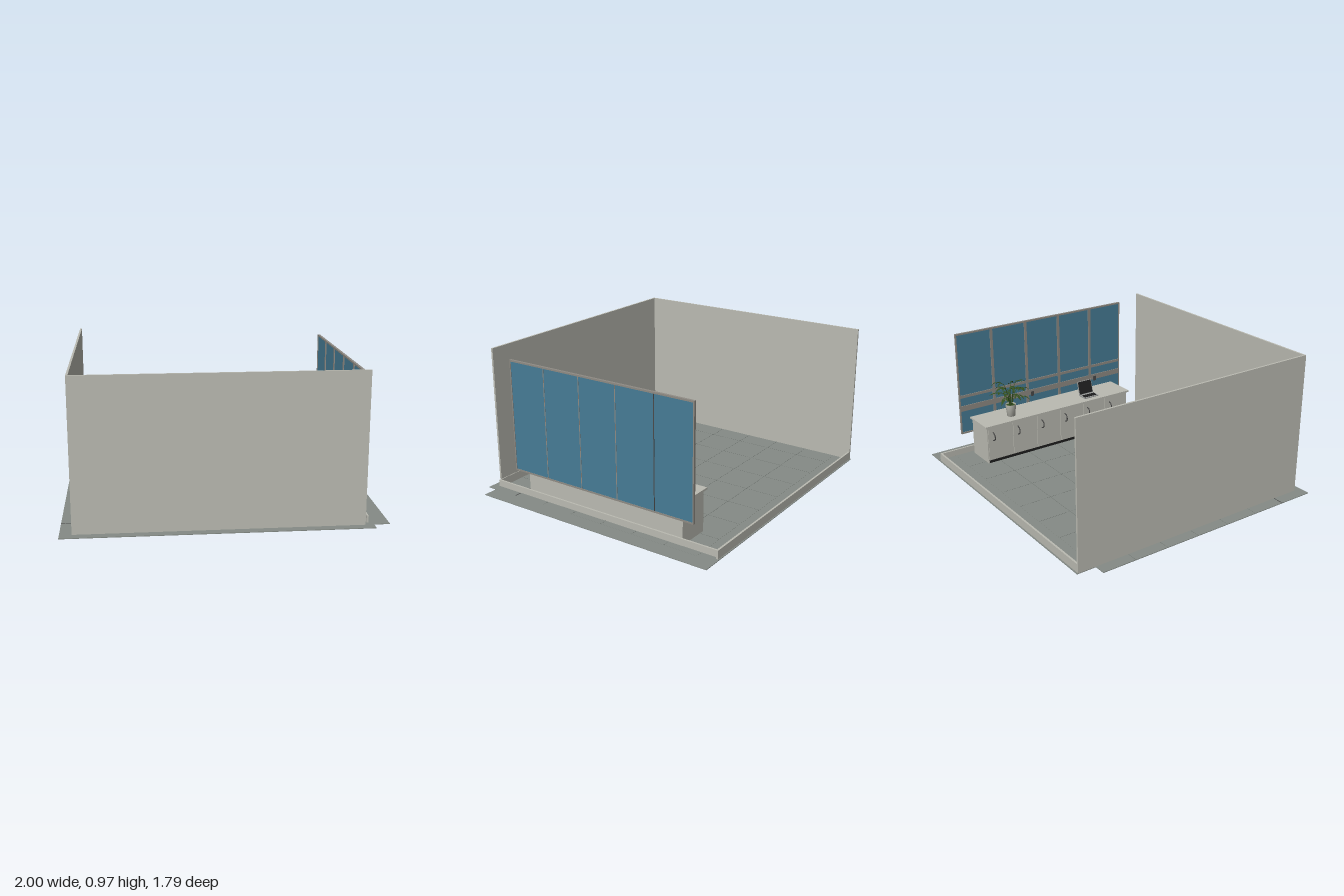
import * as THREE from 'three';

const mat = (name, color, side = THREE.FrontSide) => {
  const m = new THREE.MeshStandardMaterial({ color, side });
  m.name = name;
  return m;
};

export function createModel() {
  const model = new THREE.Group();
  model.name = 'room';
  const wall = mat('pale stone', 0xbbbbb2);
  const floorMat = mat('floor grey', 0x858b86);
  const grout = mat('grout grey', 0x6f7571);
  const glass = mat('blue glass', 0x467c96);
  const frame = mat('frame grey', 0x8f8b84);
  const black = mat('black', 0x1e1e1e);
  const metal = mat('dark metal', 0x4a4a4a);
  const leafMat = mat('leaf green', 0x34501f, THREE.DoubleSide);
  const laptopMat = mat('laptop grey', 0x9a9c9a);

  const group = (name) => {
    const g = new THREE.Group();
    g.name = name;
    model.add(g);
    return g;
  };
  const add = (parent, name, geometry, material) => {
    const m = new THREE.Mesh(geometry, material);
    m.name = name;
    parent.add(m);
    return m;
  };
  // Box given by its lowest and highest corners
  const box = (parent, name, material, [x0, x1], [y0, y1], [z0, z1]) => {
    const m = add(parent, name, new THREE.BoxGeometry(x1 - x0, y1 - y0, z1 - z0), material);
    m.position.set((x0 + x1) / 2, (y0 + y1) / 2, (z0 + z1) / 2);
    return m;
  };

  // Floor: two offset slabs leave notched corners
  const floor = group('floor');
  box(floor, 'floorSlab', floorMat, [-0.925, 1], [0, 0.004], [-0.9, 0.83]);
  box(floor, 'tileSlab', floorMat, [-1, 0.9], [0.0005, 0.005], [-0.77, 0.893]);
  for (let i = 0; i < 6; i++) {
    const z = -0.54 + i * 0.238;
    box(floor, 'tileJoint', i === 5 ? metal : grout, [-1, 0.9], [0.0045, 0.0058],
      i === 5 ? [z - 0.003, z + 0.003] : [z - 0.001, z + 0.001]);
  }
  for (let i = 0; i < 7; i++) {
    const x = -0.77 + i * 0.238;
    box(floor, 'tileJoint', grout, [x - 0.001, x + 0.001], [0.0045, 0.0057], [-0.77, 0.82]);
  }

  // Two tall walls and the low kerbs on the open sides
  const walls = group('walls');
  box(walls, 'frontWall', wall, [-0.925, 0.846], [0.004, 0.965], [0.827, 0.84]);
  box(walls, 'rightWall', wall, [-0.925, -0.912], [0.004, 0.965], [-0.892, 0.827]);
  box(walls, 'backKerb', wall, [-0.912, 0.866], [0.004, 0.06], [-0.892, -0.879]);
  box(walls, 'leftKerb', wall, [0.854, 0.866], [0.016, 0.06], [-0.879, 0.83]);
  box(walls, 'frontSkirting', wall, [-0.912, 0.846], [0.005, 0.06], [0.822, 0.827]);

  // Glazed screen with five panes
  const win = group('window');
  const [zA, zB, yA, yB] = [-0.722, 0.667, 0.172, 0.922];
  box(win, 'glass', glass, [0.853, 0.86], [yA + 0.006, yB - 0.006], [zA + 0.006, zB - 0.006]);
  box(win, 'bottomFrame', frame, [0.847, 0.863], [yA, yA + 0.011], [zA, zB]);
  box(win, 'topFrame', frame, [0.847, 0.863], [yB - 0.011, yB], [zA, zB]);
  for (const z of [zA, zB - 0.008])
    box(win, 'sideFrame', frame, [0.847, 0.863], [yA, yB], [z, z + 0.008]);
  [-0.445, -0.167, 0.11, 0.388].forEach((z, i) => {
    box(win, 'innerMullion', frame, [0.847, 0.853], [yA, yB], [z - 0.01, z + 0.01]);
    box(win, 'outerMullion', i ? frame : metal, [0.859, 0.8615], [yA + 0.011, yB - 0.011], [z - 0.003, z + 0.003]);
  });
  box(win, 'lowerRail', frame, [0.847, 0.853], [0.345, 0.385], [zA, zB]);
  box(win, 'upperRail', frame, [0.847, 0.853], [0.445, 0.465], [zA, zB]);
  for (const z of [-0.13, 0.43])
    box(win, 'windowHandle', metal, [0.842, 0.848], [0.335, 0.37], [z - 0.012, z + 0.012]);

  // Cabinet with six doors
  const cabinet = group('cabinet');
  box(cabinet, 'plinth', black, [0.622, 0.838], [0.005, 0.024], [-0.626, 0.57]);
  box(cabinet, 'body', wall, [0.625, 0.84], [0.023, 0.279], [-0.63, 0.57]);
  box(cabinet, 'endPanel', wall, [0.622, 0.842], [0.005, 0.279], [-0.634, -0.627]);
  box(cabinet, 'worktop', wall, [0.607, 0.845], [0.279, 0.292], [-0.65, 0.585]);
  const handleGeo = new THREE.TorusGeometry(0.03, 0.004, 6, 12, Math.PI);
  for (let i = 0; i < 6; i++) {
    const z = -0.63 + i * 0.2;
    box(cabinet, 'door', wall, [0.618, 0.626], [0.03, 0.275], [z + 0.003, z + 0.197]);
    const handle = add(cabinet, 'doorHandle', handleGeo, metal);
    handle.position.set(0.618, 0.205, z + 0.04);
    handle.rotation.z = Math.PI / 2;
  }

  // Laptop facing into the room
  const laptop = group('laptop');
  laptop.position.set(0.65, 0.292, 0.272);
  box(laptop, 'base', laptopMat, [0, 0.075], [0, 0.007], [-0.062, 0.062]);
  box(laptop, 'keyboard', black, [0.012, 0.055], [0.006, 0.009], [-0.053, 0.053]);
  const lid = new THREE.Group();
  lid.name = 'lid';
  lid.position.set(0.073, 0.005, 0);
  lid.rotation.z = -0.3;
  laptop.add(lid);
  box(lid, 'lidShell', laptopMat, [0, 0.005], [0, 0.105], [-0.062, 0.062]);
  box(lid, 'screen', black, [-0.002, 0.001], [0.006, 0.1], [-0.057, 0.057]);

  // Potted plant
  const plant = group('plant');
  plant.position.set(0.7, 0.292, -0.395);
  const potProfile = [[0, 0], [0.029, 0], [0.039, 0.088], [0.034, 0.088], [0.033, 0.078], [0, 0.078]]
    .map(([r, y]) => new THREE.Vector2(r, y));
  add(plant, 'pot', new THREE.LatheGeometry(potProfile, 20), wall);
  const soil = add(plant, 'soil', new THREE.CylinderGeometry(0.033, 0.033, 0.003, 16), leafMat);
  soil.position.y = 0.08;

  // Pointed leaf along +x, folded at the midrib and drooping
  const leafGeo = new THREE.PlaneGeometry(1, 1, 5, 2);
  const p = leafGeo.attributes.position;
  for (let i = 0; i < p.count; i++) {
    const t = p.getX(i) + 0.5, s = p.getY(i) * 2;
    const w = 0.013 * Math.sin(Math.PI * Math.pow(t, 0.75));
    p.setXYZ(i, t * 0.06, Math.abs(s) * w * 0.35 - 0.03 * t * t, -s * w);
  }
  leafGeo.computeVertexNormals();

  // Arching stems, each ending in a spray of leaves
  for (let i = 0; i < 16; i++) {
    const reach = 0.075 + 0.025 * ((i * 5) % 4) / 3;
    const top = 0.15 + 0.1 * ((i * 7) % 5) / 4;
    const stem = new THREE.Group();
    stem.name = 'stem';
    stem.rotation.y = i * Math.PI / 8 + 0.08 * (i % 3);
    plant.add(stem);
    const curve = new THREE.QuadraticBezierCurve3(
      new THREE.Vector3(0.008, 0.08, 0),
      new THREE.Vector3(0.025, top + 0.03, 0),
      new THREE.Vector3(reach, top, 0));
    add(stem, 'stalk', new THREE.TubeGeometry(curve, 8, 0.002, 4), leafMat);
    for (const [t, turn] of [[0.72, 0.7], [0.85, -0.7], [1, 0]]) {
      const leaf = add(stem, 'leaf', leafGeo, leafMat);
      leaf.position.copy(curve.getPoint(t));
      leaf.rotation.set(0, turn, 0.2 - 0.15 * (i % 3));
      leaf.scale.setScalar(turn ? 0.65 : 0.8);
    }
  }
  return model;
}
